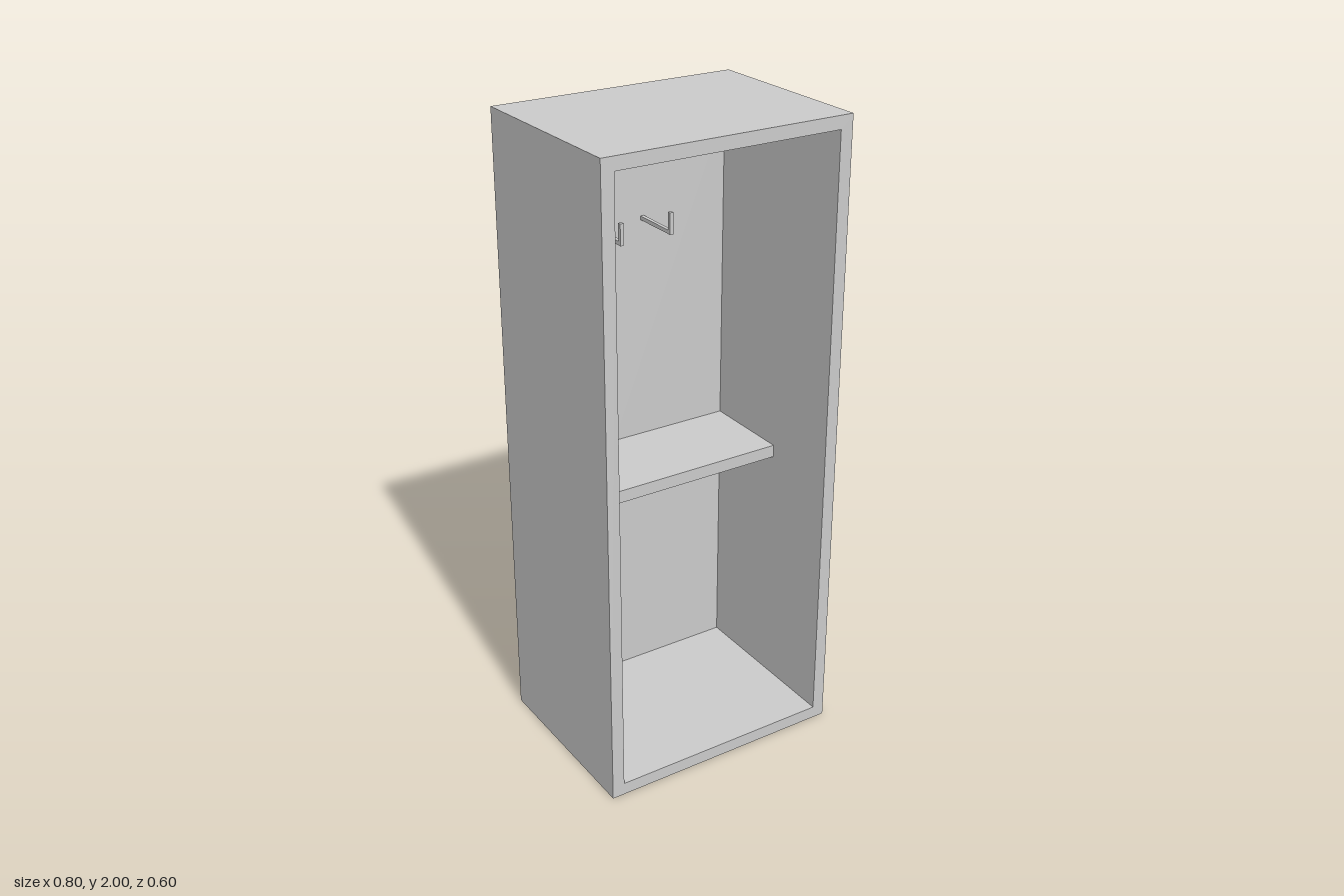
import * as THREE from 'three';

const material = new THREE.MeshStandardMaterial({ color: 0xcccccc, flatShading: true });

// Overall size, board thickness and inner back plane
const W = 0.8, H = 2, D = 0.6, T = 0.04;
const BACK = -D / 2 + T;

// Box given by its minimum and maximum corners
function box(name, [x0, y0, z0], [x1, y1, z1]) {
  const geometry = new THREE.BoxGeometry(x1 - x0, y1 - y0, z1 - z0);
  const mesh = new THREE.Mesh(geometry, material);
  mesh.position.set((x0 + x1) / 2, (y0 + y1) / 2, (z0 + z1) / 2);
  mesh.name = name;
  return mesh;
}

function rectangle(PathType, x0, y0, x1, y1) {
  return new PathType([[x0, y0], [x1, y0], [x1, y1], [x0, y1]].map(([x, y]) => new THREE.Vector2(x, y)));
}

// Sides, top and bottom as one extruded frame, closed by a back panel
function createCarcass() {
  const carcass = new THREE.Group();
  carcass.name = 'carcass';
  const outline = rectangle(THREE.Shape, -W / 2, 0, W / 2, H);
  outline.holes.push(rectangle(THREE.Path, -W / 2 + T, T, W / 2 - T, H - T));
  const frame = new THREE.Mesh(
    new THREE.ExtrudeGeometry(outline, { depth: D - T, bevelEnabled: false }), material);
  frame.position.z = BACK;
  frame.name = 'frame';
  carcass.add(frame, box('backPanel', [-W / 2, 0, -D / 2], [W / 2, H, BACK]));
  return carcass;
}

// Coat hook: a bar out from the back panel with an upturned tip
function createHook(name, x, y) {
  const hook = new THREE.Group();
  hook.name = name;
  const r = 0.006, tip = -0.095;
  hook.add(
    box('hookBar', [-r, 0, BACK], [r, 2 * r, tip - 2 * r]),
    box('hookTip', [-r, 0, tip - 2 * r], [r, 0.067, tip]));
  hook.position.set(x, y, 0);
  return hook;
}

export function createModel() {
  const model = new THREE.Group();
  model.name = 'openWardrobe';
  model.add(
    createCarcass(),
    // Half-depth shelf against the back
    box('shelf', [-W / 2 + T, 0.847, BACK], [W / 2 - T, 0.887, BACK + 0.3]),
    createHook('rightHook', -0.104, 1.597),
    createHook('leftHook', 0.065, 1.6));
  return model;
}
